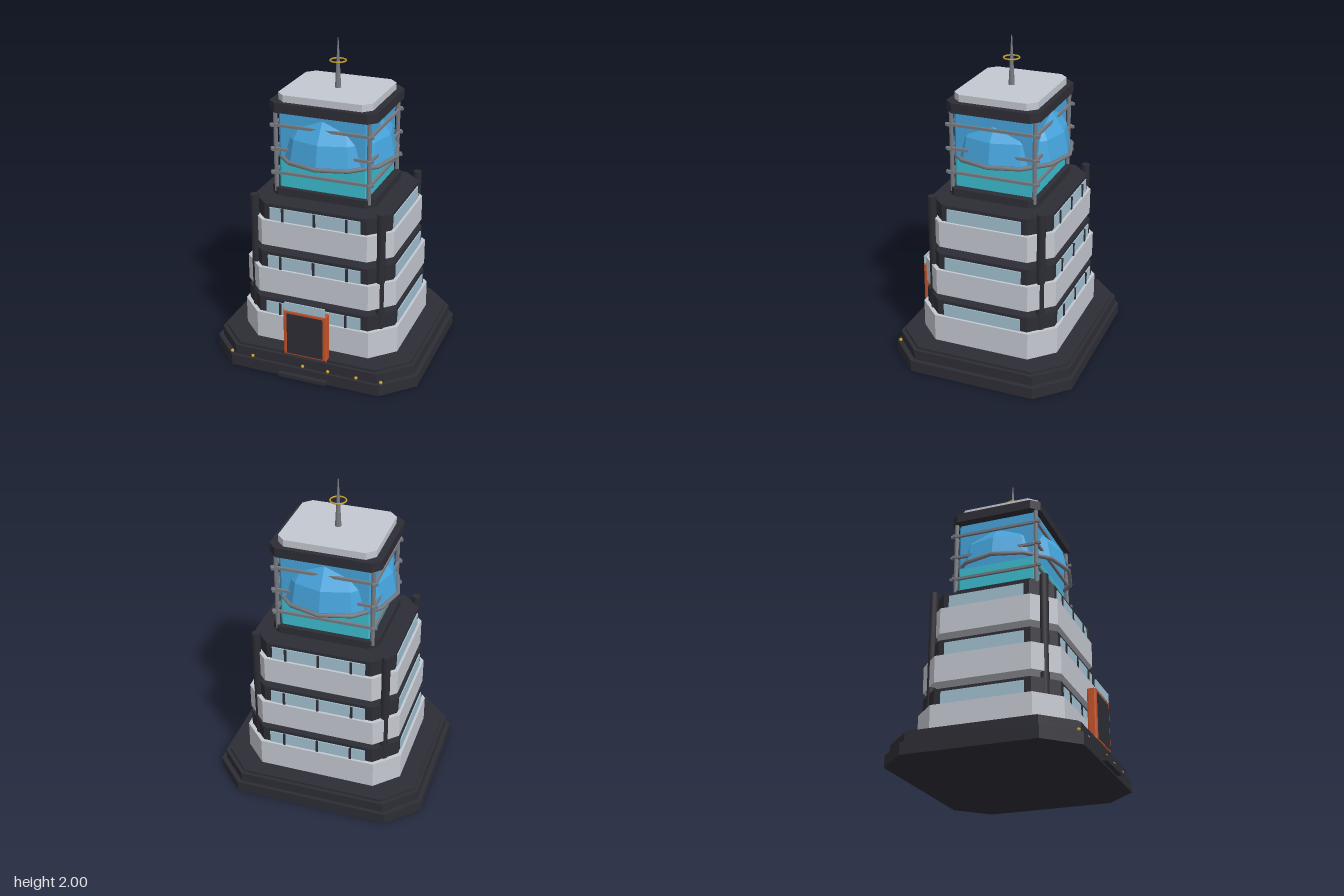
import * as THREE from 'three';

const mat = (name, color, extra = {}) => {
  const m = new THREE.MeshStandardMaterial({ color, ...extra });
  m.name = name;
  return m;
};

export function createModel() {
  const M = {
    dark: mat('charcoal', 0x2d2d35),
    light: mat('paleGrey', 0xc4c8d0),
    glass: mat('windowGlass', 0xa3c1d1),
    blue: mat('blueGlass', 0x46a4dc),
    dome: mat('domeBlue', 0x46a4dc, { flatShading: true }),
    teal: mat('tealGlass', 0x3cbccf),
    metal: mat('greyMetal', 0x777b82),
    orange: mat('orange', 0xc5532a),
    gold: mat('gold', 0xc9a227),
  };
  const model = new THREE.Group();
  model.name = 'tower';
  // everything but the entrance shares an axis slightly behind the origin
  const core = new THREE.Group();
  core.name = 'building';
  core.position.z = -0.015;
  model.add(core);

  const add = (name, geo, material, x = 0, y = 0, z = 0, parent = core) => {
    const mesh = new THREE.Mesh(geo, material);
    mesh.name = name;
    mesh.position.set(x, y, z);
    parent.add(mesh);
    return mesh;
  };
  const box = (name, w, h, d, material, x, y, z, parent) =>
    add(name, new THREE.BoxGeometry(w, h, d), material, x, y, z, parent);

  // rectangle with cut corners, extruded upwards from y0 to y1
  const slab = (name, hx, hz, c, y0, y1, material) => {
    const s = new THREE.Shape([
      [hx - c, -hz], [hx, -hz + c], [hx, hz - c], [hx - c, hz],
      [-hx + c, hz], [-hx, hz - c], [-hx, -hz + c], [-hx + c, -hz],
    ].map(([x, y]) => new THREE.Vector2(x, y)));
    const geo = new THREE.ExtrudeGeometry(s, { depth: y1 - y0, bevelEnabled: false });
    geo.rotateX(-Math.PI / 2);
    return add(name, geo, material, 0, y0, 0);
  };

  // stepped plinth
  slab('plinthLower', 0.67, 0.585, 0.185, 0, 0.072, M.dark);
  slab('plinthUpper', 0.642, 0.565, 0.178, 0.072, 0.135, M.dark);
  slab('plinthTop', 0.62, 0.545, 0.172, 0.135, 0.15, M.dark);

  // three separate storeys, each smaller than the one below
  const storeys = [
    { y: 0.155, top: 0.33, roof: 0.43, hx: 0.507, hz: 0.445, c: 0.14, win: 0.31, side: 0.25, gap: 0.215 },
    { y: 0.472, top: 0.637, roof: 0.74, hx: 0.487, hz: 0.427, c: 0.132, win: 0.30, side: 0.245, gap: 0.215 },
    { y: 0.785, top: 0.95, roof: 1.052, hx: 0.462, hz: 0.406, c: 0.125, win: 0.29, side: 0.235, gap: 0.205 },
  ];
  for (const s of storeys) {
    slab('balconyBand', s.hx, s.hz, s.c, s.y, s.top, M.light);
    const wx = s.hx - 0.022, wz = s.hz - 0.022;
    slab('storeyWall', wx, wz, s.c - 0.01, s.top, s.roof, M.dark);
    const h = s.roof - s.top - 0.02, y = s.top + h / 2;
    for (const k of [-1, 1]) {
      box('longWindow', s.win * 2, h, 0.008, M.glass, 0, y, k * (wz + 0.003));
      box('sideWindow', 0.008, h, s.side * 2, M.glass, k * (wx + 0.003), y, 0);
      for (const x of [-s.gap, 0, s.gap])
        box('mullion', 0.014, h, 0.02, M.dark, x, y, k * (wz + 0.004));
    }
  }

  // corner columns
  for (const sx of [-1, 1]) for (const sz of [-1, 1]) {
    const geo = new THREE.CylinderGeometry(0.026, 0.026, 0.945, 8);
    geo.rotateY(Math.PI / 8);
    add('cornerColumn', geo, M.dark, sx * 0.406, 0.6125, sz * 0.348);
  }

  // glazed upper block
  slab('upperFloor', 0.332, 0.287, 0.05, 1.072, 1.12, M.dark);
  slab('lowerGlazing', 0.282, 0.255, 0.015, 1.12, 1.29, M.teal);
  slab('upperGlazing', 0.282, 0.255, 0.015, 1.29, 1.6, M.blue);
  slab('upperRim', 0.338, 0.292, 0.05, 1.598, 1.657, M.dark);
  slab('roof', 0.296, 0.26, 0.05, 1.657, 1.7, M.light);
  for (const k of [-1, 1]) {
    for (const j of [-1, 1])
      add('post', new THREE.CylinderGeometry(0.014, 0.014, 0.55, 8), M.metal, k * 0.295, 1.365, j * 0.262);
    for (const y of [1.215, 1.365, 1.515]) {
      box('longRail', 0.65, 0.016, 0.016, M.metal, 0, y, k * 0.27);
      box('sideRail', 0.016, 0.016, 0.59, M.metal, k * 0.305, y, 0);
    }
  }

  // dome pushing out through all four glazed sides, with its rim
  add('dome', new THREE.SphereGeometry(0.365, 12, 4, 0, Math.PI * 2, 0, Math.PI / 2), M.dome, 0, 1.305, 0);
  const rim = new THREE.TorusGeometry(0.373, 0.013, 6, 12);
  rim.rotateX(Math.PI / 2);
  add('domeRim', rim, M.metal, 0, 1.308, 0);

  // spire with a gold ring
  add('spire', new THREE.CylinderGeometry(0.003, 0.02, 0.3, 8), M.metal, 0, 1.85, 0);
  const ring = new THREE.TorusGeometry(0.048, 0.005, 6, 20);
  ring.rotateX(Math.PI / 2);
  add('spireRing', ring, M.gold, 0, 1.865, 0);

  // entrance: rounded surround, dark door, glass canopy and step
  const entrance = new THREE.Group();
  entrance.name = 'entrance';
  model.add(entrance);
  const w = 0.132, r = new THREE.Shape();
  r.moveTo(-w, 0.15); r.lineTo(w, 0.15); r.lineTo(w, 0.442); r.lineTo(-w, 0.442);
  const surround = new THREE.ExtrudeGeometry(r, {
    depth: 0.034, bevelEnabled: true, bevelSize: 0.009, bevelThickness: 0.01, bevelSegments: 2,
  });
  add('doorSurround', surround, M.orange, 0, 0, 0.5, entrance);
  box('door', 0.232, 0.275, 0.008, M.dark, 0, 0.293, 0.543, entrance);
  box('canopyGlass', 0.26, 0.055, 0.008, M.glass, 0, 0.478, 0.541, entrance);
  box('step', 0.31, 0.022, 0.04, M.dark, 0, 0.02, 0.58, entrance);

  // small lamps along the front ledge
  for (const x of [-0.493, -0.348, -0.012, 0.153, 0.335, 0.49])
    add('lamp', new THREE.SphereGeometry(0.011, 8, 6), M.gold, x, 0.083, Math.abs(x) > 0.47 ? 0.545 : 0.553, entrance);

  return model;
}
